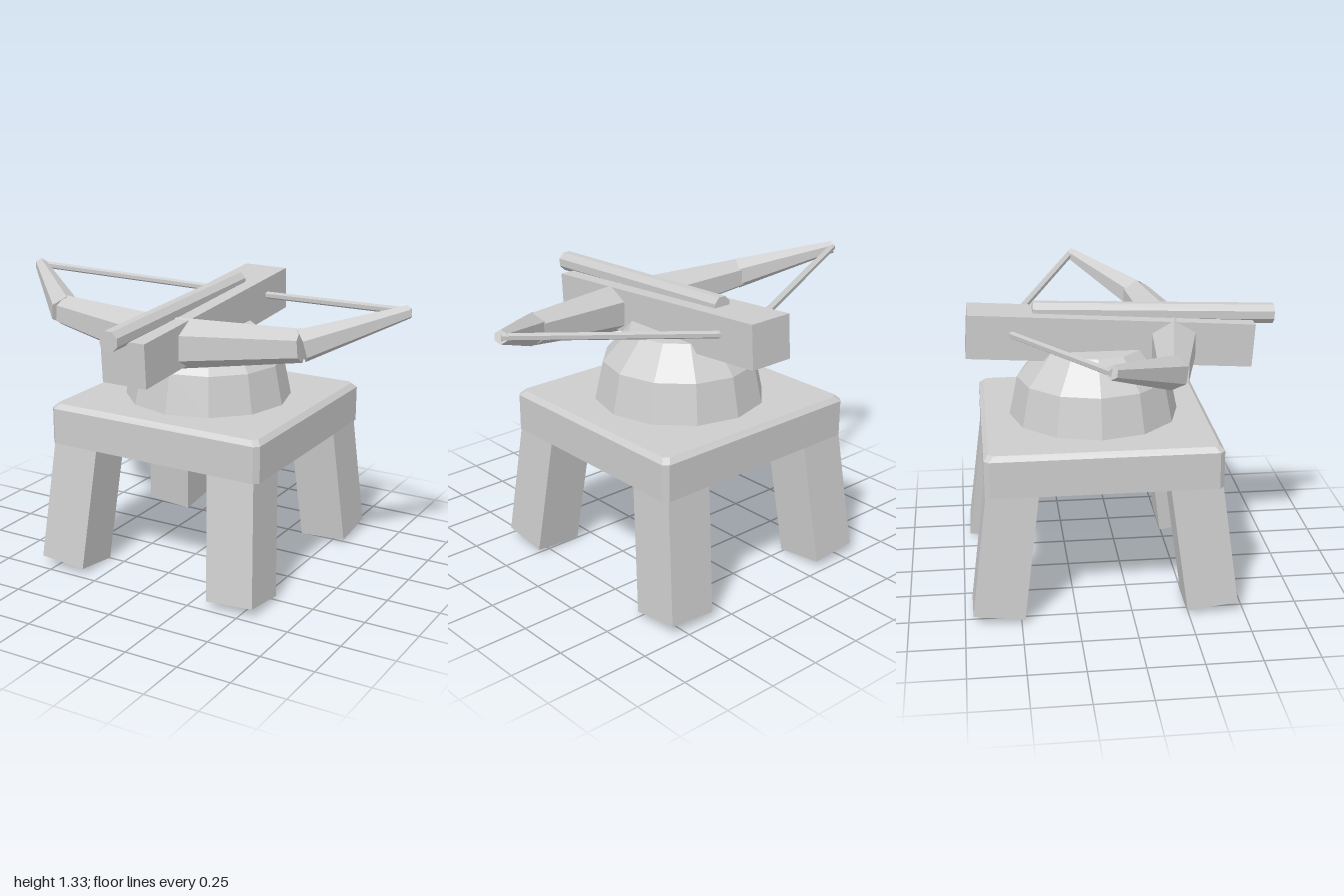
import * as THREE from 'three';
import { ConvexGeometry } from 'three/addons/geometries/ConvexGeometry.js';

const grey = new THREE.MeshStandardMaterial({ color: 0xcccccc });
grey.name = 'plain grey';

const CZ = -0.12; // z centre of the stand

// Mesh with faceted normals
function part(name, geometry) {
  const g = geometry.index ? geometry.toNonIndexed() : geometry;
  g.computeVertexNormals();
  const mesh = new THREE.Mesh(g, grey);
  mesh.name = name;
  return mesh;
}

// Tapered prism from a to b, with one corner pointing up
function rod(name, a, b, ra, rb, sides = 6) {
  const start = new THREE.Vector3(...a), end = new THREE.Vector3(...b);
  const dir = end.clone().sub(start);
  const length = dir.length();
  dir.normalize();
  const up = new THREE.Vector3(0, 1, 0).addScaledVector(dir, -dir.y).normalize();
  const side = dir.clone().cross(up);
  const g = new THREE.CylinderGeometry(rb, ra, length, sides);
  if (sides === 8) g.rotateY(Math.PI / 8); // flat side up
  g.applyMatrix4(new THREE.Matrix4().makeBasis(side, dir, up));
  const mid = start.add(end).multiplyScalar(0.5);
  g.translate(mid.x, mid.y, mid.z);
  return part(name, g);
}

// Table slab with chamfered upright corners and a chamfered top rim
function slab() {
  const points = [];
  const bevel = 0.022;
  for (const [y, inset] of [[0.6, 0], [0.768, 0], [0.79, bevel]]) {
    const x = 0.542 - inset, z = 0.523 - inset;
    for (const sx of [-1, 1]) for (const sz of [-1, 1]) {
      points.push(new THREE.Vector3(sx * x, y, CZ + sz * (z - bevel)));
      points.push(new THREE.Vector3(sx * (x - bevel), y, CZ + sz * z));
    }
  }
  return part('tableSlab', new ConvexGeometry(points));
}

export function createModel() {
  const model = new THREE.Group();
  model.name = 'mountedCrossbow';
  model.add(slab());

  // Four splayed legs
  for (const sx of [-1, 1]) for (const sz of [-1, 1]) {
    const g = new THREE.BoxGeometry(0.23, 0.61, 0.23).translate(0, 0.305, 0);
    const leg = part((sz > 0 ? 'front' : 'back') + (sx > 0 ? 'Left' : 'Right') + 'Leg', g);
    leg.position.set(sx * 0.448, 0.024, CZ + sz * 0.48);
    leg.rotation.set(-sz * 0.13, 0, sx * 0.072);
    model.add(leg);
  }

  // Faceted swivel dome with a flat top
  const profile = [[0.392, 0.78], [0.352, 0.97], [0.23, 1.11], [0, 1.11]]
    .map(([r, y]) => new THREE.Vector2(r, y));
  const dome = part('swivelDome', new THREE.LatheGeometry(profile, 12));
  dome.position.z = CZ;
  model.add(dome);

  // Stock, tipped slightly down at the front
  const stock = part('stock', new THREE.BoxGeometry(0.22, 0.2, 1.3));
  stock.position.set(0, 1.153, -0.046);
  stock.rotation.x = 0.0655;
  model.add(stock);

  // Bolt lying on the stock
  model.add(rod('bolt', [0, 1.276, -0.395], [0, 1.231, 0.71], 0.047, 0.047, 8));

  // Bow arms and string, mirrored
  for (const s of [1, -1]) {
    const arm = new THREE.Group();
    arm.name = s > 0 ? 'leftBowArm' : 'rightBowArm';
    const tip = [s * 0.978, 1.3, -0.142];
    arm.add(
      rod('innerLimb', [s * 0.01, 1.12, 0.25], [s * 0.615, 1.168, 0.155], 0.12, 0.075),
      rod('outerLimb', [s * 0.615, 1.168, 0.157], tip, 0.075, 0.03),
      rod('bowString', tip, [0, 1.187, -0.535], 0.017, 0.017)
    );
    model.add(arm);
  }
  return model;
}
